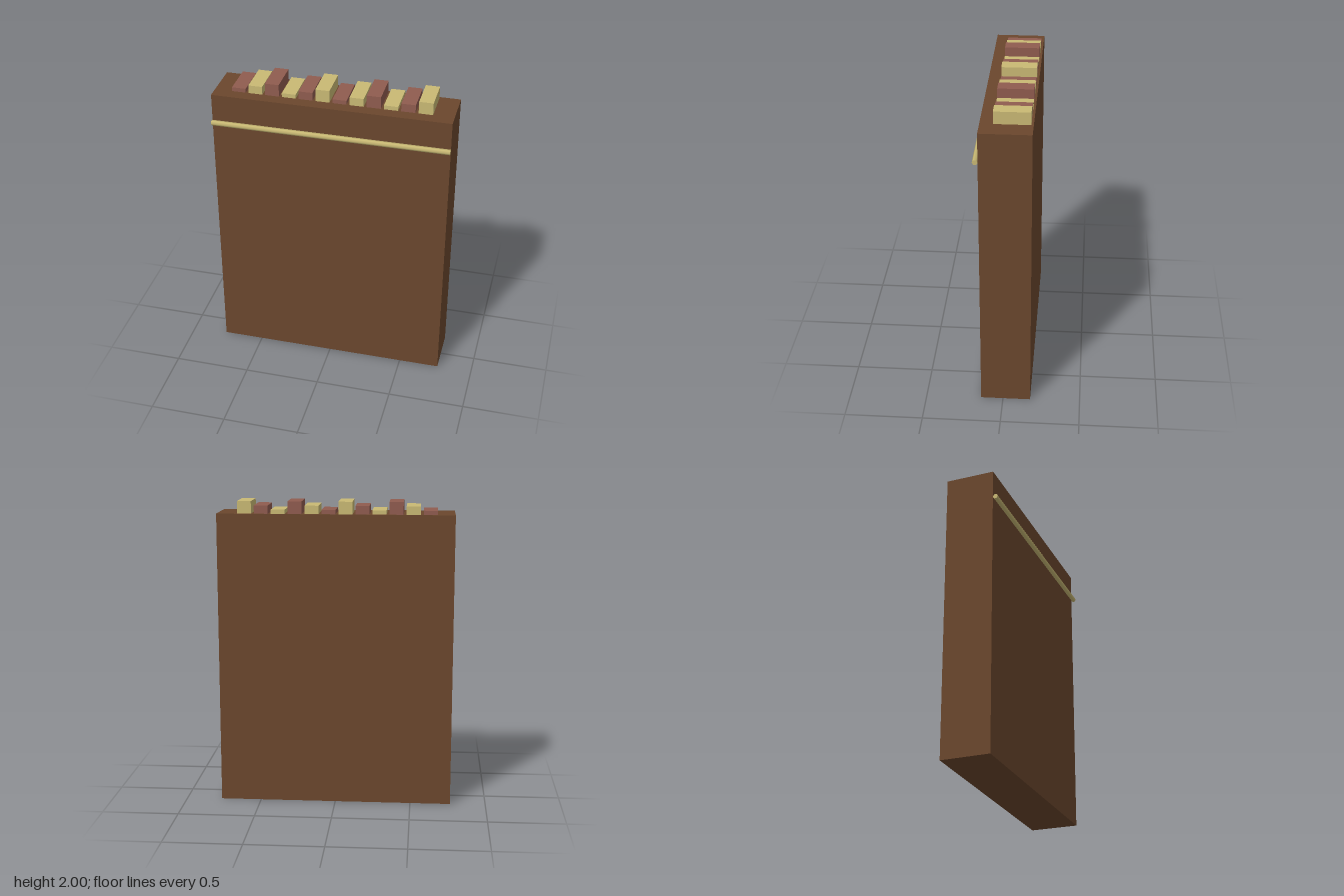
import * as THREE from 'three';

export function createModel() {
  const group = new THREE.Group();
  const material = (name, color) => {
    const m = new THREE.MeshStandardMaterial({ color });
    m.name = name;
    return m;
  };
  const wood = material('brown wood', 0x6b472d);
  const red = material('dull red', 0x905c4f);
  const tan = material('tan', 0xc9b974);

  const add = (name, geometry, mat, x, y, z) => {
    const mesh = new THREE.Mesh(geometry, mat);
    mesh.name = name;
    mesh.position.set(x, y, z);
    group.add(mesh);
    return mesh;
  };

  // Solid upright body
  const top = 1.92;
  add('body', new THREE.BoxGeometry(1.532, top, 0.32), wood, 0, top / 2, -0.017);

  // Six-sided rail across the front, corners pointing forward and back
  const rail = new THREE.CylinderGeometry(0.0175, 0.0175, 1.532, 6);
  add('frontRail', rail, tan, 0, 1.731, 0.16).rotation.z = Math.PI / 2;

  // Row of blocks on top: colours alternate, heights repeat in threes
  for (let i = 0; i < 12; i++) {
    const height = 0.0267 * (1 + (i % 3));
    add(`topBlock${i + 1}`, new THREE.BoxGeometry(0.09, height, 0.225),
      i % 2 ? tan : red, -0.608 + i * 0.1087, top + height / 2, -0.05);
  }
  return group;
}
